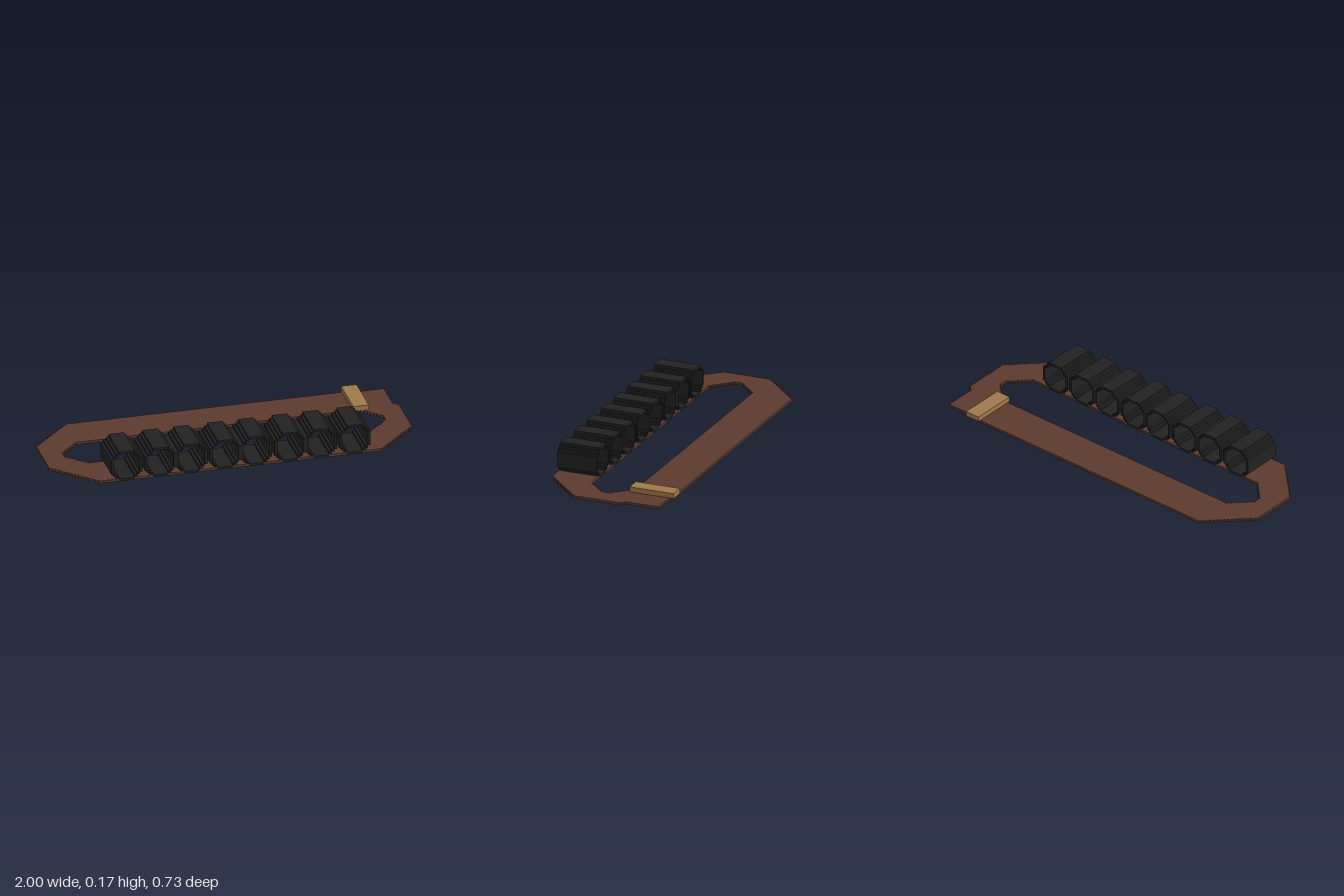
import * as THREE from 'three';
import { mergeGeometries } from 'three/addons/utils/BufferGeometryUtils.js';

// All sizes below are in blocks; 70 blocks make one unit.
const BLOCK = 1 / 70;

// Box given by its lower and upper corner
function block(x0, y0, z0, x1, y1, z1) {
  return new THREE.BoxGeometry(x1 - x0, y1 - y0, z1 - z0)
    .translate((x0 + x1) / 2, (y0 + y1) / 2, (z0 + z1) / 2);
}

// Points of a one-block staircase
function stairs(x, z, dx, dz, steps) {
  const points = [];
  for (let i = 1; i <= steps; i++) {
    points.push([x + dx * (i - 1), z + dz * i], [x + dx * i, z + dz * i]);
  }
  return points;
}

export function createModel() {
  const trackBrown = new THREE.MeshStandardMaterial({ name: 'trackBrown', color: 0x5c3a2e });
  const tyreBlack = new THREE.MeshStandardMaterial({ name: 'tyreBlack', color: 0x222222 });
  const plankWood = new THREE.MeshStandardMaterial({ name: 'plankWood', color: 0xa0784a });

  const model = new THREE.Group();
  model.name = 'raceTrack';
  const add = (name, geometry, material) => {
    const mesh = new THREE.Mesh(geometry, material);
    mesh.name = name;
    model.add(mesh);
    return mesh;
  };

  // Flat loop of track, open at the front where the tyres sit
  const outline = [
    [-47, 25.5], [-55, 25.5], ...stairs(-55, 25.5, -1, -1, 15),
    ...stairs(-70, -8.5, 1, -1, 15), [-55, -24.5],
    [55, -24.5], [55, -23.5], [68, -23.5], [68, -10.5], [69, -10.5], [69, -9.5], [70, -9.5],
    ...stairs(70, 9.5, -1, 1, 15), [55, 25.5], [47, 25.5],
    [47, 9.5], [55, 9.5], ...stairs(55, 9.5, 1, -1, 7),
    ...stairs(62, -0.5, -1, -1, 7), [55, -8.5],
    [-55, -8.5], ...stairs(-55, -8.5, -1, 1, 7),
    ...stairs(-62, 1.5, 1, 1, 7), [-55, 9.5], [-47, 9.5],
  ];
  const shape = new THREE.Shape(outline.map(([x, z]) => new THREE.Vector2(x, -z)));
  const loop = new THREE.ExtrudeGeometry(shape, { depth: 1, bevelEnabled: false });
  add('trackLoop', loop.rotateX(-Math.PI / 2), trackBrown);

  // Hollow tyre tunnel: four flat walls and stepped corners
  const parts = [
    block(3, 0, 9.5, 9, 1, 25.5), block(3, 11, 9.5, 9, 12, 25.5),
    block(0, 3, 9.5, 1, 9, 25.5), block(11, 3, 9.5, 12, 9, 25.5),
  ];
  for (const [x, y] of [[1, 2], [2, 1], [1, 9], [2, 10]]) {
    parts.push(block(x, y, 9.5, x + 1, y + 1, 25.5));
    parts.push(block(11 - x, y, 9.5, 12 - x, y + 1, 25.5));
  }
  const tyreGeometry = mergeGeometries(parts);

  // Row of tyres in pairs, with track filling the floor between them
  const starts = [-50, -37, -25, -12, 0, 13, 25, 38];
  starts.forEach((start, i) => {
    add('tyre', tyreGeometry, tyreBlack).position.x = start;
    if (i > 0) {
      add('trackFloor', block(starts[i - 1] + 9, 0, 9.5, start + 3, 1, 25.5), trackBrown);
    }
  });

  // Wooden plank across the back straight
  add('plank', block(52, 1, -25.5, 58, 3, -7.5), plankWood);

  model.scale.setScalar(BLOCK);
  return model;
}
